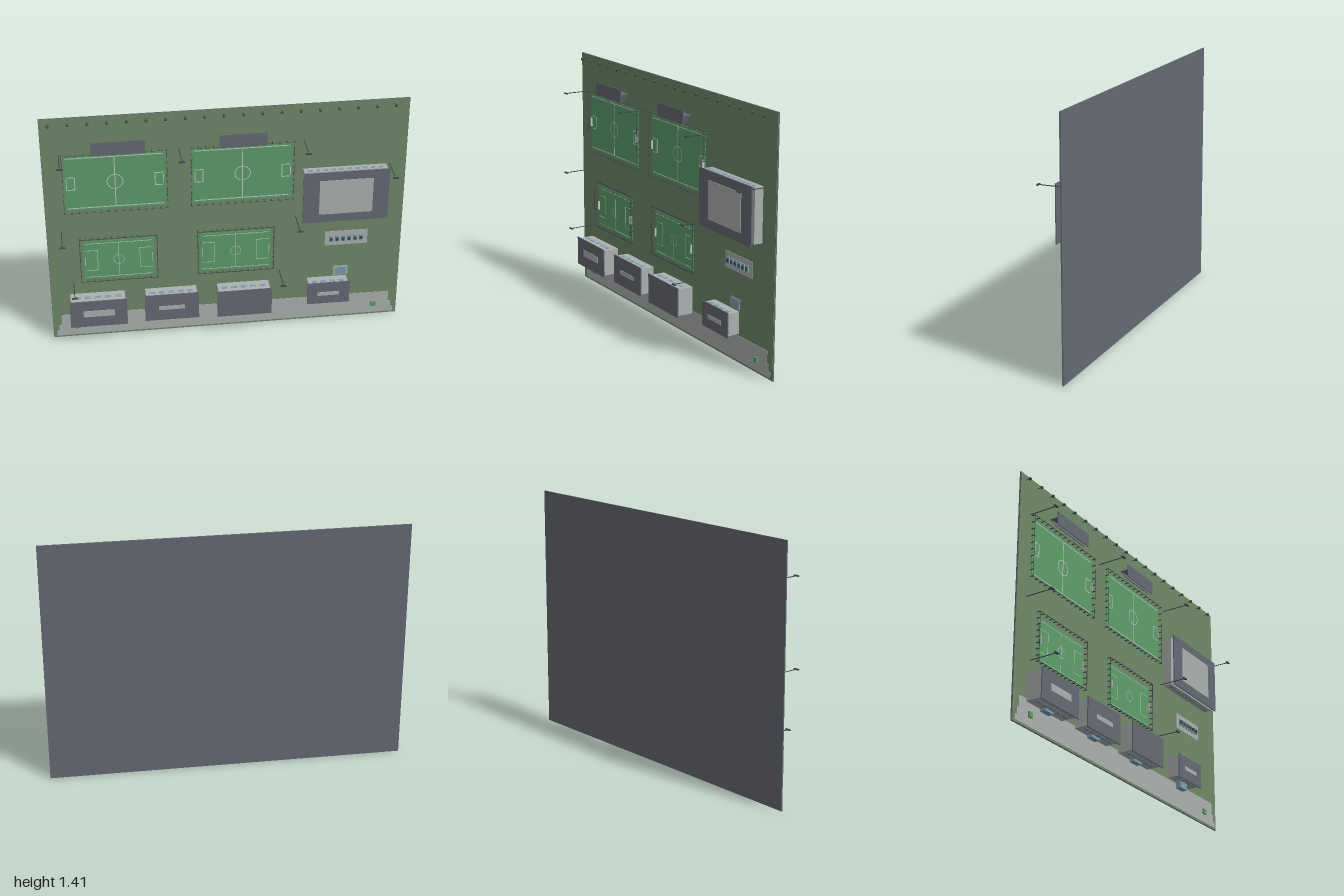
import * as THREE from 'three';

const mat = (name, color) => {
  const m = new THREE.MeshStandardMaterial({ color });
  m.name = name;
  return m;
};

export function createModel() {
  const root = new THREE.Group();
  root.name = 'sportsComplex';
  const slate = mat('slate', 0x666a74);
  const grass = mat('grass', 0x6f8a6a);
  const turf = mat('turf', 0x5d9e6b);
  const pale = mat('paleConcrete', 0xacb1b0);
  const white = mat('lineWhite', 0xc4c9c6);
  const glass = mat('glass', 0x7c9fb0);
  const dark = mat('darkMetal', 0x43484e);
  const leaf = mat('foliage', 0x46584a);
  const G = -0.079; // ground level along z

  // Box given by its min and max corners
  const box = (parent, name, m, x0, x1, y0, y1, z0, z1) => {
    const mesh = new THREE.Mesh(new THREE.BoxGeometry(x1 - x0, y1 - y0, z1 - z0), m);
    mesh.position.set((x0 + x1) / 2, (y0 + y1) / 2, (z0 + z1) / 2);
    mesh.name = name;
    parent.add(mesh);
    return mesh;
  };
  const group = (name) => {
    const g = new THREE.Group();
    g.name = name;
    root.add(g);
    return g;
  };
  const pole = (parent, name, m, x, y, z0, z1, r) => {
    const mesh = new THREE.Mesh(new THREE.CylinderGeometry(r, r, z1 - z0, 8), m);
    mesh.rotation.x = Math.PI / 2;
    mesh.position.set(x, y, (z0 + z1) / 2);
    mesh.name = name;
    parent.add(mesh);
  };

  // Ground slab, lawn and stepped forecourt
  box(root, 'baseSlab', slate, -1, 1, 0, 1.41, -0.088, -0.081);
  box(root, 'lawn', grass, -0.998, 0.998, 0.002, 1.408, -0.081, G);
  box(root, 'forecourt', pale, -0.95, 0.95, 0.085, 0.153, G, G + 0.002);
  box(root, 'forecourtStep', pale, -0.965, 0.965, 0.045, 0.085, G, G + 0.002);
  box(root, 'forecourtEdge', pale, -0.98, 0.98, 0.012, 0.045, G, G + 0.002);
  for (const s of [-1, 1]) {
    box(root, 'planter', turf, s * 0.86 - 0.015, s * 0.86 + 0.015, 0.06, 0.09, G, G + 0.012);
  }

  // Fence: posts all round with a thin top rail
  const fence = (g, x0, x1, y0, y1, nx, ny, rail) => {
    const z = -0.057, p = 0.002, r = rail / 2;
    const post = (x, y) => box(g, 'fencePost', dark, x - p, x + p, y - p, y + p, G, z);
    for (let i = 0; i <= nx; i++) for (const y of [y0, y1]) post(x0 + (x1 - x0) * i / nx, y);
    for (let i = 1; i < ny; i++) for (const x of [x0, x1]) post(x, y0 + (y1 - y0) * i / ny);
    for (const y of [y0, y1]) box(g, 'fenceRail', dark, x0, x1, y - r, y + r, z - 0.002, z);
    for (const x of [x0, x1]) box(g, 'fenceRail', dark, x - r, x + r, y0, y1, z - 0.002, z);
  };

  // Marked pitch with centre circle and goal boxes
  const pitch = (name, cx, cy, w, h, radius, boxD, boxH, lineW) => {
    const g = group(name);
    const z0 = G + 0.003, z1 = z0 + 0.001, t = lineW / 2;
    box(g, 'turf', turf, cx - w, cx + w, cy - h, cy + h, G, z0);
    const line = (x0, x1, y0, y1) => box(g, 'marking', white, x0, x1, y0, y1, z0, z1);
    const lw = w - 0.012, lh = h - 0.015;
    for (const s of [-1, 1]) {
      line(cx - lw, cx + lw, cy + s * lh - t, cy + s * lh + t);
      const e = cx + s * lw, b = e - s * boxD;
      line(b - t, b + t, cy - boxH, cy + boxH);
      for (const k of [-1, 1]) {
        line(Math.min(b, e), Math.max(b, e), cy + k * boxH - t, cy + k * boxH + t);
      }
      // Goal frame
      box(g, 'goal', white, e - 0.002, e + 0.002, cy - 0.025, cy + 0.025, z0, z0 + 0.012);
    }
    line(cx - t, cx + t, cy - lh, cy + lh);
    const ring = new THREE.Mesh(new THREE.RingGeometry(radius - t, radius + t, 32), white);
    ring.position.set(cx, cy, z1);
    ring.name = 'centreCircle';
    g.add(ring);
    return g;
  };
  const big = [['westPitch', -0.61], ['eastPitch', 0.087]];
  for (const [name, x] of big) {
    const g = pitch(name, x, 1.011, 0.275, 0.17, 0.043, 0.045, 0.038, 0.005);
    fence(g, x - 0.283, x + 0.283, 0.832, 1.192, 14, 9, 0.001);
  }
  for (const [name, x] of [['westCourt', -0.608], ['eastCourt', 0.05]]) {
    const g = pitch(name, x, 0.51, 0.2, 0.125, 0.03, 0.07, 0.065, 0.003);
    fence(g, x - 0.215, x + 0.215, 0.38, 0.658, 12, 8, 0.003);
  }

  // Grandstands: roof, back wall, sloping seats
  for (const [x0, x1] of [[-0.735, -0.445], [-0.045, 0.215]]) {
    const g = group('grandstand');
    box(g, 'standRoof', slate, x0, x1, 1.203, 1.28, -0.029, -0.025);
    box(g, 'standWall', slate, x0 + 0.005, x1 - 0.005, 1.247, 1.252, G, -0.029);
    const seats = box(g, 'standSeats', slate, x0 + 0.01, x1 - 0.01, 1.205, 1.249, -0.062, -0.059);
    seats.rotation.x = -0.5;
  }

  // Flat-roofed block: walls, roof, roof panel, rear windows, entrance canopy
  const block = (name, x0, x1, y0, y1, wallTop, roofZ, panel, windows, wz) => {
    const g = group(name), o = 0.008;
    box(g, 'walls', pale, x0 + o, x1 - o, y0 + o, y1 - o, G, wallTop);
    box(g, 'roof', slate, x0, x1, y0, y1, roofZ - 0.006, roofZ);
    if (panel) box(g, 'roofPanel', pale, ...panel, roofZ, roofZ + 0.003);
    const step = (x1 - x0 - 0.04) / windows;
    for (let i = 0; i < windows; i++) {
      const x = x0 + 0.02 + step * (i + 0.5);
      for (const y of [y0 + o, y1 - o]) {
        box(g, 'window', glass, x - step * 0.3, x + step * 0.3, y - 0.002, y + 0.002, wz, wz + 0.02);
      }
    }
    return g;
  };
  block('sportsHall', 0.415, 0.895, 0.705, 1.02, -0.028, -0.002, [0.505, 0.805, 0.757, 0.97], 10, -0.058);
  const blocks = [
    [-0.9, -0.578, 0.13, 0.3, 0.022, [-0.825, -0.65, 0.197, 0.237], 5],
    [-0.477, -0.17, 0.13, 0.3, 0.01, [-0.4, -0.25, 0.2, 0.225], 5],
    [-0.066, 0.246, 0.13, 0.3, 0.022, null, 5],
    [0.455, 0.7, 0.155, 0.295, 0, [0.515, 0.64, 0.21, 0.233], 4],
  ];
  for (const [x0, x1, y0, y1, z, panel, n] of blocks) {
    const g = block('pavilion', x0, x1, y0, y1, z - 0.006, z, panel, n, -0.04);
    const c = (x0 + x1) / 2;
    box(g, 'entranceDoor', glass, c - 0.035, c + 0.035, 0.124, y0 + 0.008, G, -0.045);
  }

  // Car park with parked cars
  const park = group('carPark');
  box(park, 'paving', pale, 0.56, 0.805, 0.5, 0.592, G, G + 0.003);
  for (let i = 0; i < 6; i++) {
    const x = 0.595 + i * 0.0345;
    box(park, 'carBody', glass, x - 0.011, x + 0.011, 0.527, 0.563, G + 0.003, G + 0.011);
    box(park, 'carCabin', dark, x - 0.008, x + 0.008, 0.535, 0.553, G + 0.011, G + 0.016);
  }

  // Small pool
  const pool = group('pool');
  box(pool, 'poolDeck', pale, 0.615, 0.7, 0.295, 0.355, G, G + 0.003);
  box(pool, 'water', glass, 0.624, 0.691, 0.3, 0.345, G + 0.003, G + 0.005);

  // Row of small trees
  for (let i = 0; i < 19; i++) {
    const g = group('tree'), x = -0.952 + i * 0.104;
    pole(g, 'trunk', dark, x, 1.38, G, -0.055, 0.002);
    const ball = new THREE.Mesh(new THREE.SphereGeometry(0.009, 10, 8), leaf);
    ball.position.set(x, 1.38, -0.055);
    ball.name = 'crown';
    g.add(ball);
  }

  // Floodlights
  const lights = [[-0.905, 1.193], [-0.26, 1.193], [0.423, 1.193], [0.907, 1.01],
    [-0.918, 0.707], [0.388, 0.707], [-0.868, 0.37], [0.302, 0.352]];
  for (const [x, y] of lights) {
    const g = group('floodlight');
    pole(g, 'mast', dark, x, y, G, 0.08, 0.0025);
    box(g, 'lampHead', dark, x - 0.016, x + 0.016, y - 0.003, y + 0.003, 0.077, 0.088);
  }
  return root;
}
